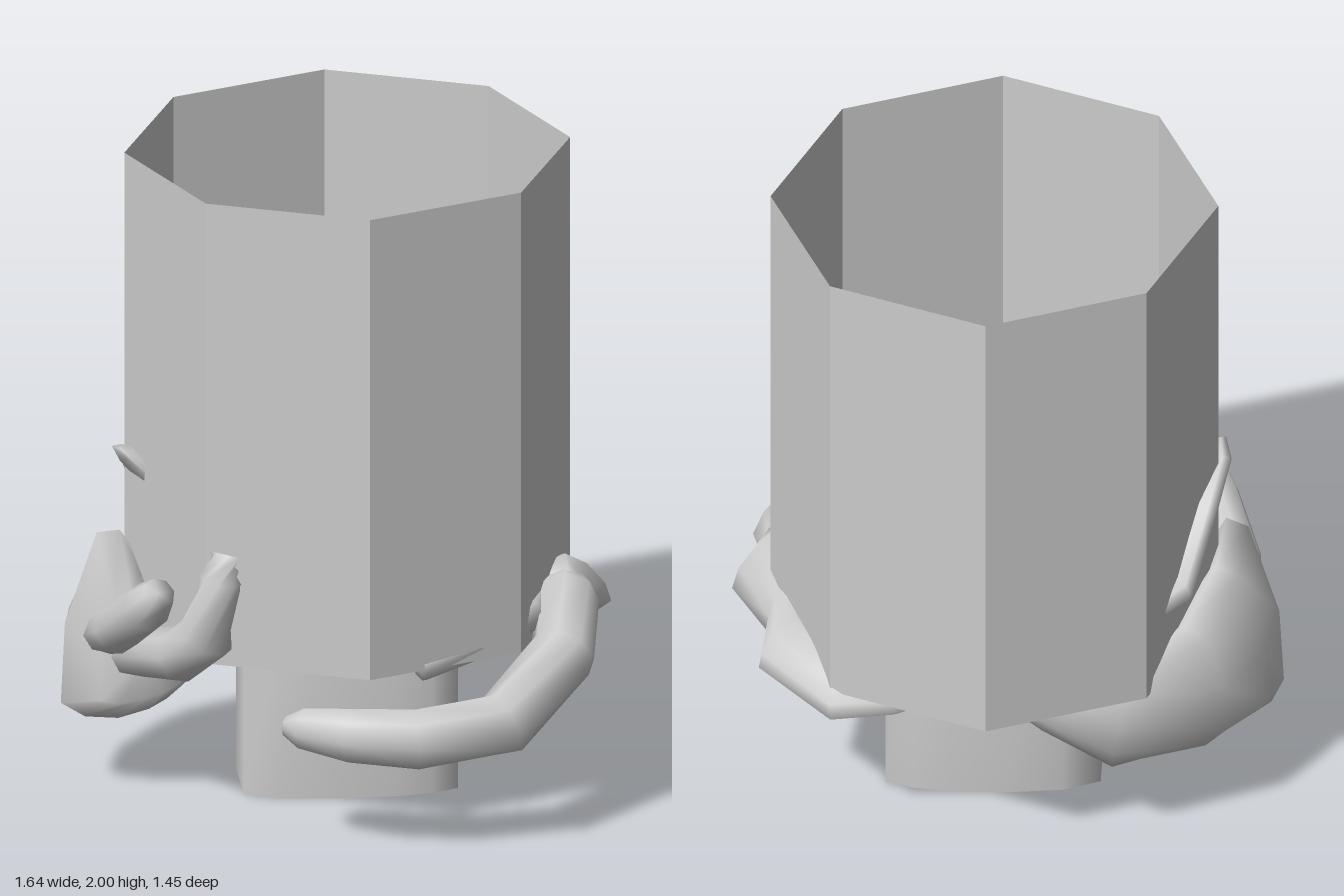
import * as THREE from 'three';

const V = (p) => new THREE.Vector3(...p);

// Skins a row of equally sized closed loops, optionally capping both ends
function loft(loops, caps = true) {
  const n = loops[0].length, pos = [], idx = [];
  loops.forEach((l) => l.forEach((p) => pos.push(p.x, p.y, p.z)));
  for (let i = 0; i < loops.length - 1; i++) {
    for (let j = 0; j < n; j++) {
      const a = i * n + j, b = i * n + (j + 1) % n;
      idx.push(a, b, a + n, b, b + n, a + n);
    }
  }
  if (caps) {
    [0, loops.length - 1].forEach((e) => {
      const c = new THREE.Vector3();
      loops[e].forEach((p) => c.addScaledVector(p, 1 / n));
      const k = pos.length / 3;
      pos.push(c.x, c.y, c.z);
      for (let j = 0; j < n; j++) {
        const a = e * n + j, b = e * n + (j + 1) % n;
        if (e === 0) idx.push(k, b, a); else idx.push(k, a, b);
      }
    });
  }
  const g = new THREE.BufferGeometry();
  g.setAttribute('position', new THREE.Float32BufferAttribute(pos, 3));
  g.setIndex(idx);
  g.computeVertexNormals();
  return g;
}

// Rounds a coarse cross-section into a smooth closed loop
function roundLoop(points, count = 12) {
  const curve = new THREE.CatmullRomCurve3(points.map(V), true);
  return curve.getPoints(count).slice(0, count);
}

// Tapered limb through [x, y, z, radius] points
function limb(points, sides = 8) {
  const c = points.map((p) => V(p.slice(0, 3)));
  return loft(c.map((p, i) => {
    const t = c[Math.min(i + 1, c.length - 1)].clone().sub(c[Math.max(i - 1, 0)]).normalize();
    const s = new THREE.Vector3().crossVectors(t, new THREE.Vector3(0, 1, 0)).normalize();
    const u = new THREE.Vector3().crossVectors(s, t);
    return Array.from({ length: sides }, (_, j) => {
      const a = j / sides * Math.PI * 2, r = points[i][3];
      return p.clone().addScaledVector(s, r * Math.cos(a)).addScaledVector(u, r * Math.sin(a));
    });
  }));
}

export function createModel() {
  const model = new THREE.Group();
  const grey = new THREE.MeshStandardMaterial({ color: 0xcccccc, side: THREE.DoubleSide });
  grey.name = 'plain grey';
  const add = (name, geometry, parent = model) => {
    const m = new THREE.Mesh(geometry, grey);
    m.name = name;
    parent.add(m);
    return m;
  };
  const group = (name) => {
    const g = new THREE.Group();
    g.name = name;
    model.add(g);
    return g;
  };

  // Open eight-sided sleeve with flat faces
  const tube = new THREE.CylinderGeometry(0.667, 0.667, 1.455, 8, 1, true).toNonIndexed();
  tube.computeVertexNormals();
  add('octagonalSleeve', tube).position.set(0.041, 1.2725, -0.058);

  // Hollow stem, rounded front and back, flat right end, drawn in at the top
  const outline = [[0.36, 0.07], [0.28, 0.105], [0.17, 0.125], [0, 0.125], [-0.17, 0.11], [-0.28, 0.06],
    [-0.28, -0.17], [-0.17, -0.22], [0, -0.24], [0.17, -0.24], [0.28, -0.225], [0.36, -0.2]];
  const rings = [[0, 1], [0.57, 1], [0.72, 0.72]];
  add('stem', loft(rings.map(([y, s]) => outline.map(([x, z]) =>
    new THREE.Vector3(0.05 + (x - 0.05) * s, y, -0.06 + (z + 0.06) * s))), false));

  // Rounded core above the stem, with small knobs and a thin pointed plate
  const core = group('innerCore');
  const ball = add('coreBody', new THREE.SphereGeometry(1, 12, 8), core);
  ball.scale.set(0.23, 0.24, 0.19);
  ball.position.set(0.055, 0.78, -0.06);
  [
    [[-0.17, 0.92, -0.04, 0.03], [-0.1, 0.96, -0.07, 0.05], [-0.02, 0.98, -0.11, 0.03]],
    [[0.08, 0.98, -0.13, 0.03], [0.15, 0.96, -0.08, 0.06], [0.26, 0.9, -0.04, 0.05]],
    [[0.2, 0.9, -0.15, 0.04], [0.27, 0.94, -0.18, 0.03], [0.31, 0.98, -0.21, 0.035]],
  ].forEach((p) => add('coreKnob', limb(p), core));
  const tri = new THREE.Shape([[-0.18, 0.15], [0.28, 0.15], [0.08, 0.175], [0.04, 0.21], [0, 0.175]]
    .map((p) => new THREE.Vector2(...p)));
  add('pointedPlate', new THREE.ShapeGeometry(tri).rotateX(Math.PI / 2), core).position.y = 0.75;

  // Lower hand on the -x side: cupped palm swept round the sleeve's lower rim
  const cup = group('cuppedHand');
  add('cuppedPalm', loft([
    [[0.08, 0.55, -0.48], [0.08, 0.58, -0.47], [0.08, 0.58, -0.44], [0.08, 0.55, -0.43], [0.08, 0.53, -0.45]],
    [[-0.1, 0.48, -0.55], [-0.1, 0.6, -0.5], [-0.13, 0.56, -0.4], [-0.15, 0.45, -0.37], [-0.12, 0.38, -0.46]],
    [[-0.33, 0.36, -0.56], [-0.36, 0.58, -0.53], [-0.25, 0.52, -0.36], [-0.22, 0.4, -0.31], [-0.32, 0.25, -0.45]],
    [[-0.66, 0.34, -0.39], [-0.58, 0.68, -0.36], [-0.4, 0.56, -0.24], [-0.31, 0.4, -0.18], [-0.48, 0.22, -0.3]],
    [[-0.79, 0.32, -0.2], [-0.66, 0.77, -0.14], [-0.5, 0.6, -0.08], [-0.39, 0.42, -0.03], [-0.55, 0.24, -0.08]],
    [[-0.82, 0.28, -0.02], [-0.68, 0.86, 0], [-0.54, 0.6, 0.06], [-0.44, 0.42, 0.1], [-0.62, 0.26, 0.06]],
    [[-0.71, 0.32, 0.08], [-0.65, 0.66, 0.1], [-0.52, 0.58, 0.14], [-0.46, 0.42, 0.15], [-0.56, 0.34, 0.12]],
  ].map((s) => roundLoop(s))), cup);
  [
    [[-0.7, 0.5, 0, 0.06], [-0.67, 0.58, 0.18, 0.075], [-0.6, 0.7, 0.33, 0.075], [-0.57, 0.77, 0.41, 0.05]],
    [[-0.62, 0.46, 0.06, 0.07], [-0.49, 0.53, 0.28, 0.085], [-0.42, 0.64, 0.41, 0.09], [-0.39, 0.82, 0.44, 0.065], [-0.37, 0.89, 0.42, 0.05]],
  ].forEach((p) => add('cuppedFinger', limb(p), cup));

  // Upper hand inside the sleeve, its outer edge just breaking through the wall
  const upper = group('upperHand');
  add('upperPalm', loft([
    [[0.2, 0.63, -0.42], [0.2, 0.66, -0.41], [0.2, 0.63, -0.4], [0.2, 0.6, -0.41]],
    [[-0.08, 0.66, -0.48], [-0.12, 0.72, -0.43], [-0.15, 0.68, -0.35], [-0.12, 0.6, -0.4]],
    [[-0.33, 0.7, -0.5], [-0.3, 0.82, -0.42], [-0.17, 0.76, -0.24], [-0.27, 0.66, -0.36]],
    [[-0.56, 0.79, -0.36], [-0.43, 0.89, -0.26], [-0.18, 0.78, -0.12], [-0.37, 0.72, -0.22]],
    [[-0.625, 0.99, -0.22], [-0.5, 1.02, -0.14], [-0.22, 0.8, -0.02], [-0.46, 0.85, -0.12]],
    [[-0.665, 1.08, -0.04], [-0.54, 1.06, -0.02], [-0.3, 0.83, 0.05], [-0.5, 0.9, 0]],
    [[-0.645, 1.1, 0.05], [-0.57, 1.05, 0.07], [-0.46, 0.92, 0.08], [-0.56, 0.98, 0.06]],
  ].map((s) => roundLoop(s))), upper);
  [
    [[-0.5, 0.92, -0.02, 0.08], [-0.36, 0.85, 0.18, 0.075], [-0.2, 0.78, 0.29, 0.065], [-0.08, 0.75, 0.32, 0.03]],
    [[-0.3, 0.84, -0.1, 0.05], [-0.2, 0.8, 0.14, 0.055], [-0.06, 0.76, 0.29, 0.055], [0.1, 0.72, 0.33, 0.055], [0.15, 0.71, 0.32, 0.035]],
  ].forEach((p) => add('upperFinger', limb(p), upper));

  // Hand on the +x side: flat palm across the back, long finger round the front
  const wrap = group('wrappingHand');
  add('wrappingPalm', loft([
    [[0.02, 0.55, -0.5], [0.02, 0.58, -0.49], [0.02, 0.56, -0.47], [0.02, 0.53, -0.48]],
    [[0.15, 0.55, -0.54], [0.15, 0.61, -0.5], [0.15, 0.57, -0.44], [0.15, 0.52, -0.49]],
    [[0.32, 0.5, -0.58], [0.34, 0.62, -0.5], [0.27, 0.58, -0.4], [0.3, 0.49, -0.48]],
    [[0.51, 0.47, -0.57], [0.48, 0.62, -0.48], [0.34, 0.58, -0.34], [0.45, 0.47, -0.44]],
    [[0.73, 0.53, -0.39], [0.65, 0.64, -0.3], [0.41, 0.59, -0.22], [0.58, 0.49, -0.3]],
    [[0.71, 0.53, -0.2], [0.66, 0.66, -0.1], [0.44, 0.56, 0], [0.6, 0.47, -0.1]],
    [[0.825, 0.55, 0], [0.68, 0.73, 0.07], [0.46, 0.57, 0.1], [0.63, 0.51, 0.04]],
    [[0.76, 0.59, 0.1], [0.68, 0.71, 0.15], [0.58, 0.62, 0.15], [0.65, 0.56, 0.15]],
  ].map((s) => roundLoop(s))), wrap);
  [
    [[0.67, 0.63, 0.03, 0.06], [0.67, 0.62, 0.18, 0.1], [0.64, 0.53, 0.4, 0.1], [0.44, 0.39, 0.6, 0.1],
      [0.18, 0.36, 0.63, 0.095], [-0.02, 0.365, 0.59, 0.085], [-0.15, 0.37, 0.53, 0.065], [-0.2, 0.37, 0.5, 0.03]],
    [[0.6, 0.65, 0.06, 0.05], [0.54, 0.62, 0.28, 0.06], [0.36, 0.58, 0.42, 0.055], [0.2, 0.54, 0.51, 0.04]],
    [[0.48, 0.57, 0, 0.05], [0.45, 0.56, 0.12, 0.04], [0.42, 0.55, 0.21, 0.02]],
  ].forEach((p) => add('wrappingFinger', limb(p), wrap));

  return model;
}
